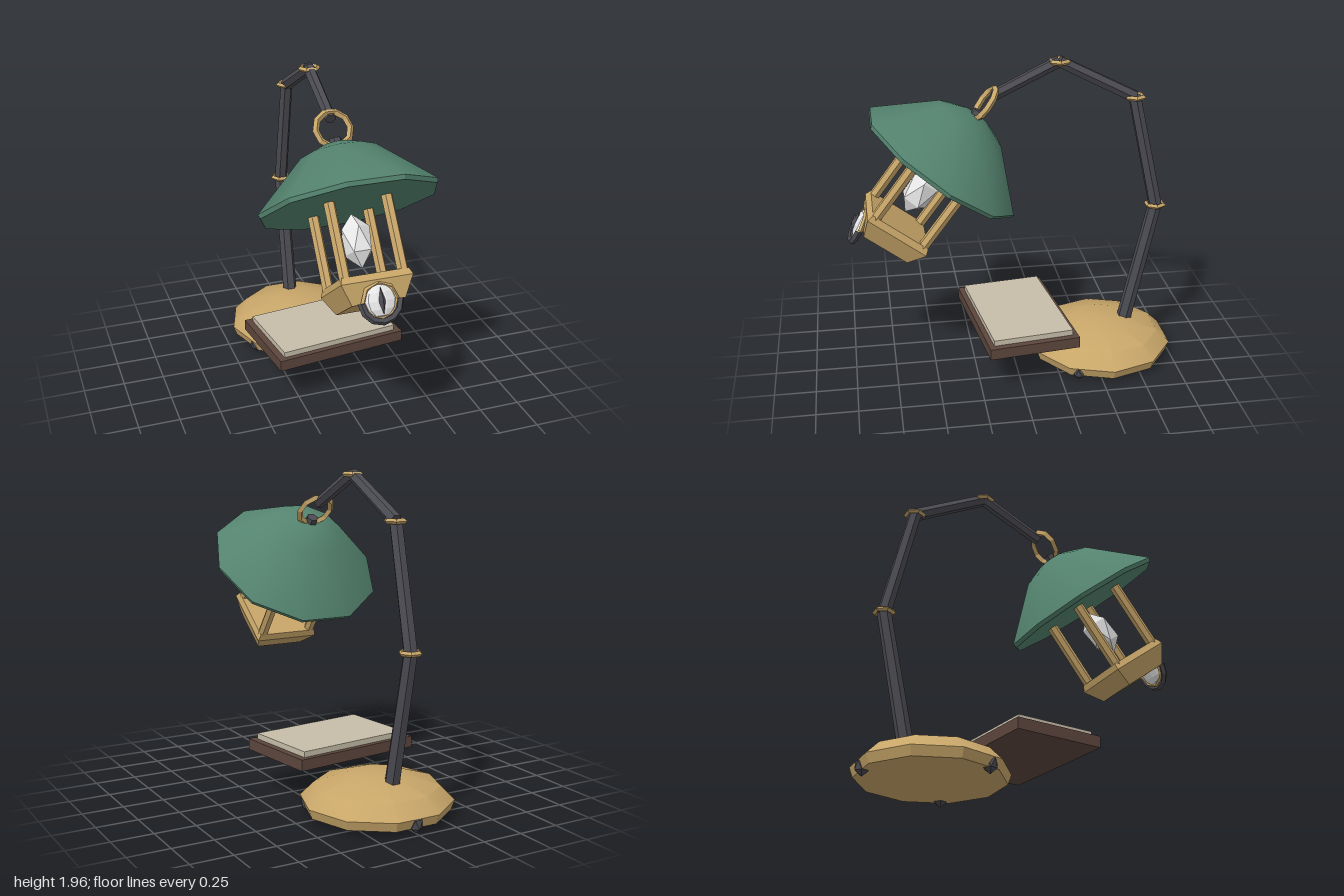
import * as THREE from 'three';
import { toCreasedNormals } from 'three/addons/utils/BufferGeometryUtils.js';

const material = (name, color, flat = true) => {
  const m = new THREE.MeshStandardMaterial({ color, flatShading: flat });
  m.name = name;
  return m;
};

export function createModel() {
  const brass = material('brass', 0xc8a669);
  const brassSmooth = brass.clone();
  brassSmooth.flatShading = false;
  const green = material('greenEnamel', 0x54836f, false);
  const iron = material('darkIron', 0x4b4b52);
  const leather = material('brownLeather', 0x5c463c);
  const paper = material('paper', 0xc6bda9);
  const glass = material('whiteGlass', 0xe6e6e6);

  const model = new THREE.Group();
  model.name = 'deskLamp';

  function add(parent, name, geometry, mat, x = 0, y = 0, z = 0) {
    const mesh = new THREE.Mesh(geometry, mat);
    mesh.name = name;
    mesh.position.set(x, y, z);
    parent.add(mesh);
    return mesh;
  }
  // Faceted turned solid with corners on the x axis
  function turned(profile, sides, turn = Math.PI / sides) {
    const points = profile.map(([r, y]) => new THREE.Vector2(r, y));
    return new THREE.LatheGeometry(points, sides).rotateY(turn);
  }
  // Stretched icosahedron standing on a corner
  function gem(rx, ry, rz) {
    return new THREE.IcosahedronGeometry(1, 0)
      .rotateX(-Math.atan((1 + Math.sqrt(5)) / 2)).scale(rx, ry, rz);
  }

  // Base and its three feet
  const baseZ = -0.56;
  const base = turned([[0, 0.033], [0.43, 0.033], [0.45, 0.09], [0.367, 0.172], [0.155, 0.24], [0, 0.245]], 10);
  add(model, 'base', toCreasedNormals(base, 0.55), brassSmooth, 0, 0, baseZ);
  for (const deg of [30, 150, 270]) {
    const a = deg * Math.PI / 180;
    add(model, 'foot', gem(0.045, 0.058, 0.045), iron,
      0.4 * Math.cos(a), 0.058, baseZ + 0.4 * Math.sin(a));
  }

  // Jointed arm: [y, z, radius] at each joint
  const joints = [[0.22, -0.72, 0.047], [1.0, -0.887, 0.042], [1.7, -0.727, 0.039], [1.935, -0.27, 0.036], [1.745, 0.12, 0.034]];
  const up = new THREE.Vector3(0, 1, 0);
  for (let i = 0; i < joints.length - 1; i++) {
    const [y0, z0, r0] = joints[i], [y1, z1, r1] = joints[i + 1];
    const dir = new THREE.Vector3(0, y1 - y0, z1 - z0);
    const tube = new THREE.CylinderGeometry(r1, r0, dir.length(), 6).rotateY(Math.PI / 6);
    const arm = add(model, 'armSegment', tube, iron, 0, (y0 + y1) / 2, (z0 + z1) / 2);
    arm.quaternion.setFromUnitVectors(up, dir.normalize());
    if (i > 0) {
      const collar = new THREE.TorusGeometry(0.055, 0.015, 4, 6).rotateX(Math.PI / 2);
      add(model, 'jointCollar', collar, brass, 0, y0, z0);
    }
  }

  // Tilted head; its origin is the middle of the shade rim
  const head = new THREE.Group();
  head.name = 'lampHead';
  head.position.set(0, 1.355, 0.425);
  head.rotation.x = -0.645;
  model.add(head);

  const shade = turned([[0, -0.025], [0.52, -0.025], [0.53, 0], [0.226, 0.284], [0.09, 0.338], [0, 0.345]], 10);
  add(head, 'shade', toCreasedNormals(shade, 0.55), green);
  add(head, 'shadeNeck', new THREE.CylinderGeometry(0.035, 0.042, 0.06, 6).rotateY(Math.PI / 6), iron, 0, 0.345, 0);
  add(head, 'hangingRing', new THREE.TorusGeometry(0.104, 0.02, 4, 10), brass, 0, 0.432, 0);

  // Four posts hold the lower housing around the bulb
  for (const x of [-0.168, 0.168]) {
    for (const z of [-0.168, 0.168]) {
      add(head, 'post', new THREE.CylinderGeometry(0.033, 0.033, 0.45, 6).rotateY(Math.PI / 6), brass, x, -0.235, z);
    }
  }
  const s = Math.SQRT2;
  const housing = turned([[0, -0.6], [0.155 * s, -0.6], [0.208 * s, -0.485], [0.195 * s, -0.445], [0, -0.445]], 4);
  add(head, 'housing', housing, brass);
  add(head, 'bulb', gem(0.098, 0.157, 0.098), glass, 0, -0.226, 0);

  // Round lens on the housing front, with a half guard and a slit
  const lens = new THREE.Group();
  lens.name = 'lensAssembly';
  lens.position.set(0, 0.985, 0.925);
  lens.rotation.x = -0.45;
  model.add(lens);
  add(lens, 'lensGlass', new THREE.SphereGeometry(1, 10, 6).scale(0.092, 0.092, 0.035), glass);
  add(lens, 'lensRim', new THREE.TorusGeometry(0.098, 0.014, 4, 8), brass);
  add(lens, 'lensGuard', new THREE.TorusGeometry(0.113, 0.021, 5, 6, Math.PI).rotateZ(Math.PI), iron, 0, 0, 0.012);
  add(lens, 'lensSlit', new THREE.OctahedronGeometry(1).scale(0.02, 0.075, 0.022), iron, 0, 0, 0.032);

  // Closed book, turned slightly
  const book = new THREE.Group();
  book.name = 'book';
  book.position.set(0, 0, -0.022);
  book.rotation.y = 0.126;
  model.add(book);
  add(book, 'bookCover', new THREE.BoxGeometry(0.837, 0.068, 0.56), leather, 0, 0.279, 0);
  add(book, 'bookPages', new THREE.BoxGeometry(0.755, 0.035, 0.495), paper, 0, 0.33, 0);

  return model;
}
